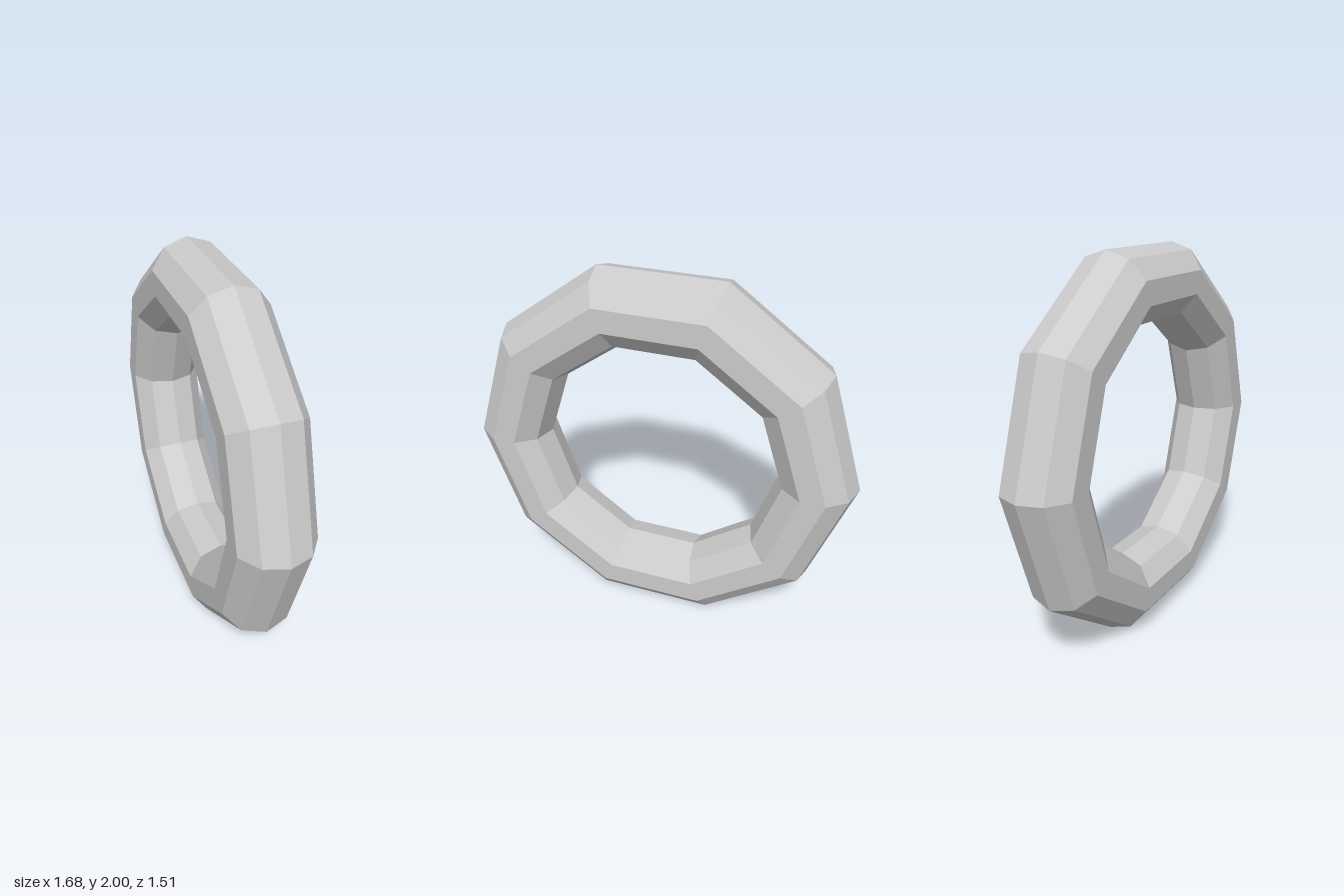
import * as THREE from 'three';

export function createModel() {
  const group = new THREE.Group();
  const material = new THREE.MeshStandardMaterial({ color: 0xcccccc, flatShading: true });

  // Upright faceted ring: ten segments around, ten sides to the tube
  const tubeRadius = 0.2055;
  const outerRadius = 1 / Math.sin(THREE.MathUtils.degToRad(72)); // flat top and bottom at y = 2 and 0
  const ring = new THREE.Mesh(
    new THREE.TorusGeometry(outerRadius - tubeRadius, tubeRadius, 10, 10),
    material
  );
  ring.name = 'ring';
  ring.position.y = 1;
  ring.rotation.y = THREE.MathUtils.degToRad(-41.1); // turned about the vertical
  group.add(ring);

  return group;
}
